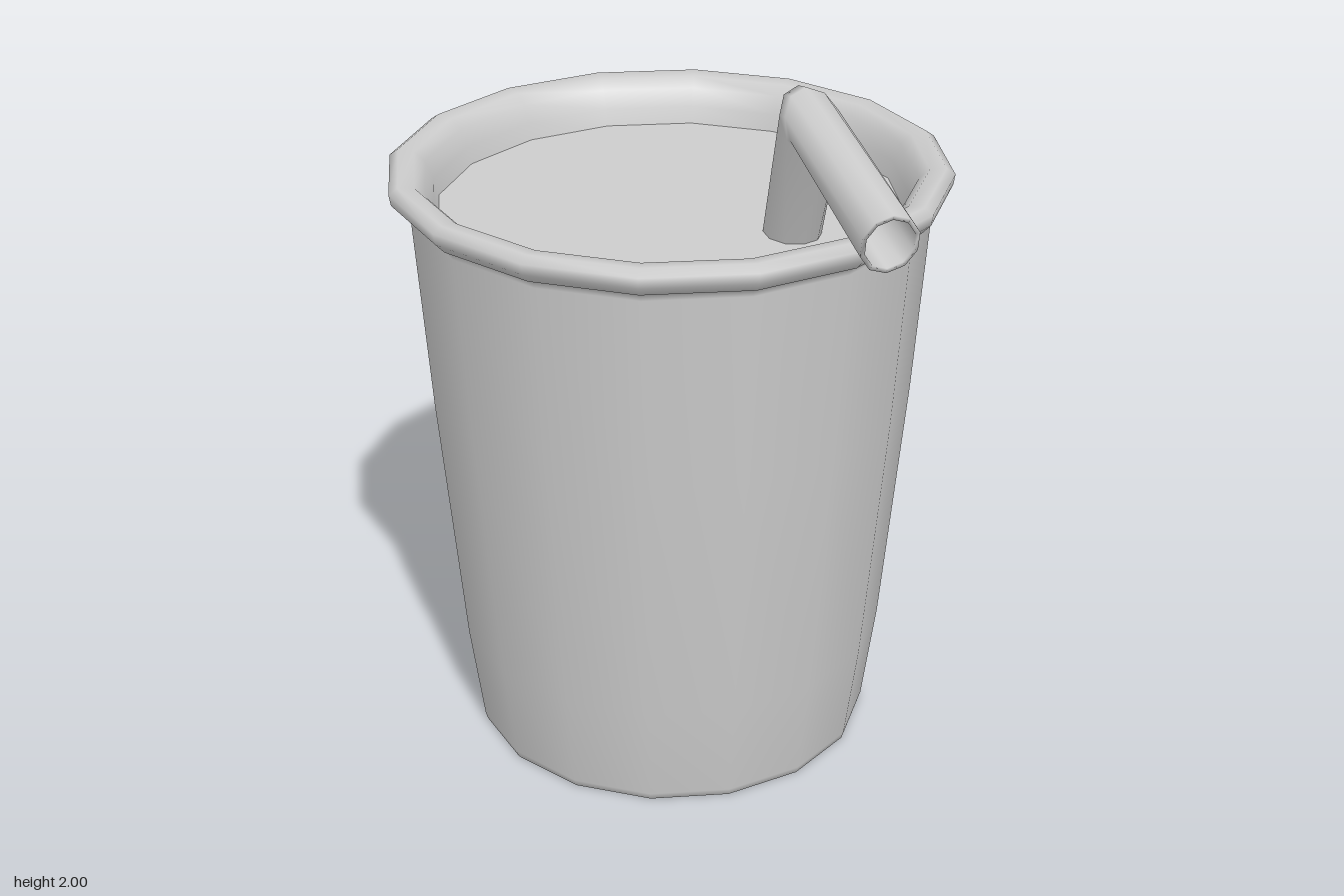
import * as THREE from 'three';

const SIDES = 16;
const CUP_Z = -0.105;

// Loft through rings in the yz plane: outer and inner edge as [z, y], then half width in x
function loftTube(rings, x, sides) {
  const pos = [], index = [];
  rings.forEach(([outer, inner, halfWidth]) => {
    const cz = (outer[0] + inner[0]) / 2, cy = (outer[1] + inner[1]) / 2;
    const uz = outer[0] - cz, uy = outer[1] - cy;
    for (let i = 0; i < sides; i++) {
      const a = (i / sides) * Math.PI * 2;
      pos.push(x + halfWidth * Math.sin(a), cy + uy * Math.cos(a), cz + uz * Math.cos(a));
    }
  });
  for (let r = 0; r < rings.length - 1; r++) {
    for (let i = 0; i < sides; i++) {
      const j = (i + 1) % sides, b = r * sides, t = b + sides;
      index.push(b + i, t + i, t + j, b + i, t + j, b + j);
    }
  }
  const g = new THREE.BufferGeometry();
  g.setAttribute('position', new THREE.Float32BufferAttribute(pos, 3));
  g.setIndex(index);
  g.computeVertexNormals();
  return g;
}

export function createModel() {
  const model = new THREE.Group();
  const grey = new THREE.MeshStandardMaterial({ color: 0xcccccc, side: THREE.DoubleSide });
  grey.name = 'light grey';

  const add = (name, geometry, z = 0) => {
    const mesh = new THREE.Mesh(geometry, grey);
    mesh.name = name;
    mesh.position.z = z;
    model.add(mesh);
  };

  // Tapered cup: recessed base, foot lip, wall, rolled rim, inner slope down to the lid
  const profile = [
    [0, 0.03], [0.552, 0.03], [0.558, 0], [0.566, 0], [0.572, 0.02],
    [0.61, 0.31], [0.675, 1.05], [0.713, 1.6],
    [0.718, 1.62], [0.738, 1.627], [0.764, 1.655], [0.769, 1.685],
    [0.745, 1.702], [0.7, 1.697], [0.672, 1.67], [0.65, 1.62], [0.635, 1.56],
  ].map(([r, y]) => new THREE.Vector2(r, y));
  add('cupWithRim', new THREE.LatheGeometry(profile, SIDES), CUP_Z);

  // Flat lid sunk below the rim
  const lid = new THREE.CircleGeometry(0.645, SIDES);
  lid.rotateX(-Math.PI / 2);
  lid.translate(0, 1.572, 0);
  add('lid', lid, CUP_Z);

  // Bent straw with a thin lip turning inside at the open tip
  add('straw', loftTube([
    [[0.088, 1.56], [0.265, 1.56], 0.077],
    [[0.2, 1.985], [0.395, 1.838], 0.077],
    [[0.26, 2.0], [0.405, 1.84], 0.077],
    [[0.877, 1.89], [0.845, 1.73], 0.077],
    [[0.874, 1.878], [0.848, 1.743], 0.065],
    [[0.62, 1.926], [0.594, 1.793], 0.065],
  ], 0.253, 10));

  return model;
}
